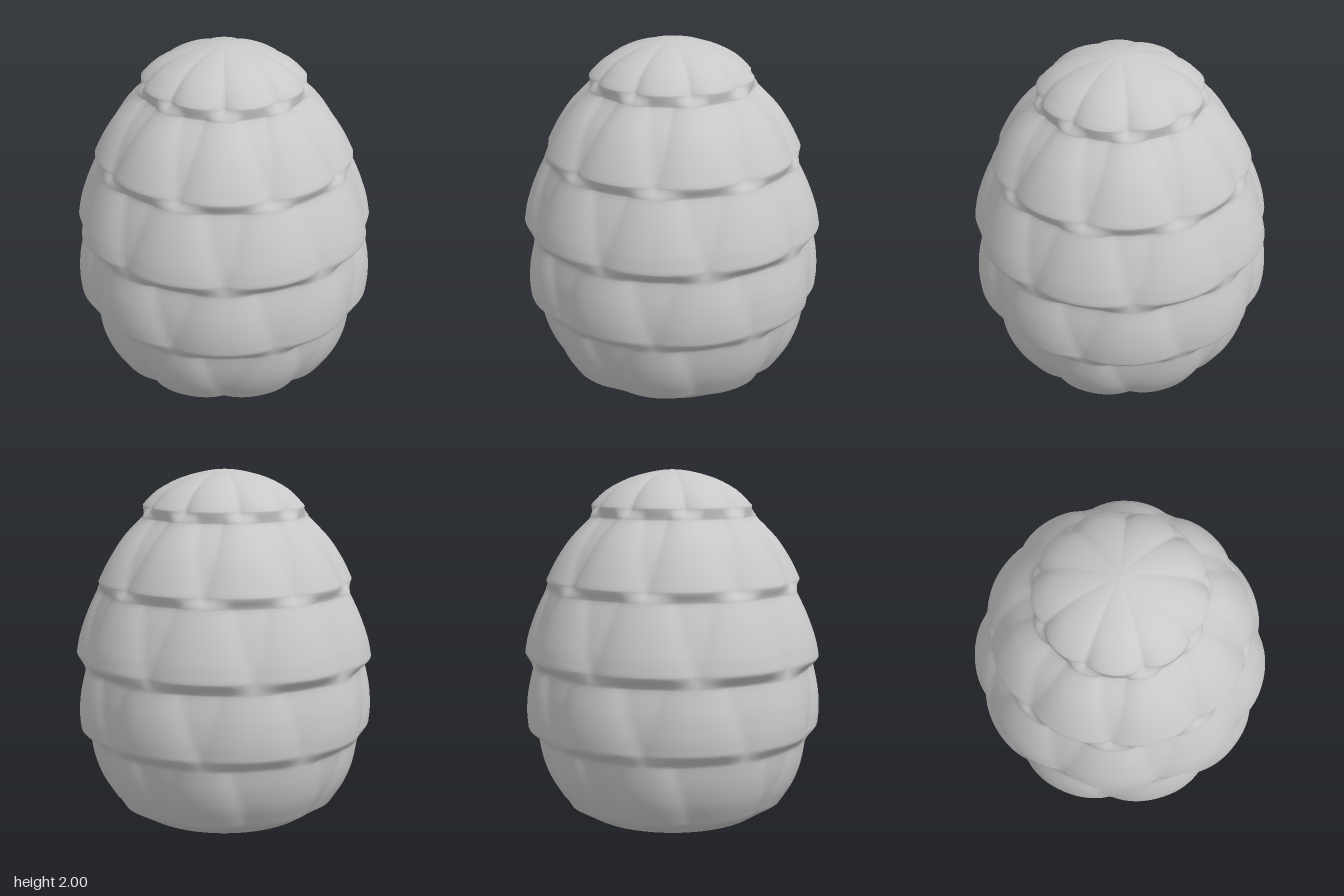
import * as THREE from 'three';

const LOBES = 9;
const COLUMNS = 216;
const STEPS = 12;      // rows inside a tier
const LIP_STEPS = 8;   // rows in the lip between two tiers

// Crest outline [radius, y] of every tier from the ground up, its groove depth
// at the lower and upper edge, how much its scales narrow upward, and where
// the scales start (alternating by half a scale).
const TIERS = [
  { crest: [[0.655, 0.08], [0.73, 0.2], [0.775, 0.32], [0.798, 0.44]], depth: [0.035, 0.025], taper: 0.45, start: Math.PI },
  { crest: [[0.858, 0.53], [0.865, 0.62], [0.856, 0.74], [0.828, 0.87]], depth: [0.042, 0.025], taper: 0.4, start: 0 },
  { crest: [[0.865, 0.95], [0.845, 1.05], [0.795, 1.19], [0.738, 1.31]], depth: [0.042, 0.025], taper: 0.4, start: Math.PI },
  { crest: [[0.738, 1.38], [0.683, 1.49], [0.602, 1.61], [0.485, 1.73]], depth: [0.042, 0.025], taper: 0.4, start: 0 },
  { crest: [[0.468, 1.8], [0.385, 1.88], [0.25, 1.95], [0.1, 1.99], [0, 2]], depth: [0.04, 0], taper: 0, start: Math.PI },
];

// Radius of a tier at height fraction t and angle a
function tierRadius(tier, radius, t, a) {
  const period = (Math.PI * 2) / LOBES;
  const turn = (a - tier.start) / period;
  const u = Math.abs(turn - Math.round(turn)) * 2;
  const s = Math.min(1, u / (1 - tier.taper * t));
  const depth = THREE.MathUtils.lerp(tier.depth[0], tier.depth[1], t);
  return radius - depth * Math.pow(s, 2.4);
}

// Rows are { y, radiusAt(angle) }
function makeRows() {
  const rows = [{ y: 0, radiusAt: () => 0.52 }];
  for (const tier of TIERS) {
    const curve = new THREE.SplineCurve(tier.crest.map(([r, y]) => new THREE.Vector2(r, y)));
    const tierRows = curve.getPoints(STEPS).map((p, i) => ({
      y: p.y,
      radiusAt: (a) => (p.x < 0.001 ? 0 : tierRadius(tier, p.x, i / STEPS, a)),
    }));
    // Soft lip from the tier below
    const below = rows[rows.length - 1];
    const first = tierRows[0];
    for (let k = 1; k < LIP_STEPS; k++) {
      const t = k / LIP_STEPS;
      const e = below.y === 0 ? t : THREE.MathUtils.smoothstep(t, 0, 1);
      rows.push({
        y: THREE.MathUtils.lerp(below.y, first.y, t),
        radiusAt: (a) => THREE.MathUtils.lerp(below.radiusAt(a), first.radiusAt(a), e),
      });
    }
    rows.push(...tierRows);
  }
  return rows;
}

// Closed loops of points joined into one smooth skin
function loftRows(rows) {
  const positions = [];
  const index = [];
  rows.forEach((row, i) => {
    for (let j = 0; j < COLUMNS; j++) {
      const a = (j / COLUMNS) * Math.PI * 2;
      const r = row.radiusAt(a);
      positions.push(r * Math.cos(a), row.y, r * Math.sin(a));
      if (i === rows.length - 1) continue;
      const p = i * COLUMNS + j;
      const q = i * COLUMNS + ((j + 1) % COLUMNS);
      index.push(p, p + COLUMNS, q);
      if (i < rows.length - 2) index.push(q, p + COLUMNS, q + COLUMNS);
    }
  });
  const geometry = new THREE.BufferGeometry();
  geometry.setAttribute('position', new THREE.Float32BufferAttribute(positions, 3));
  geometry.setIndex(index);
  geometry.computeVertexNormals();
  // All points at the tip share the upward normal
  const normals = geometry.attributes.normal;
  for (let j = 0; j < COLUMNS; j++) normals.setXYZ((rows.length - 1) * COLUMNS + j, 0, 1, 0);
  return geometry;
}

export function createModel() {
  const group = new THREE.Group();
  group.name = 'scaledEgg';
  const grey = new THREE.MeshStandardMaterial({ color: 0xc8c8c8 });
  grey.name = 'light grey';

  // Egg shell with overlapping scales
  const shell = new THREE.Mesh(loftRows(makeRows()), grey);
  shell.name = 'scaleShell';
  group.add(shell);

  // Flat underside
  const base = new THREE.Mesh(new THREE.CircleGeometry(0.52, COLUMNS), grey);
  base.name = 'flatBase';
  base.rotation.x = Math.PI / 2;
  group.add(base);

  return group;
}
